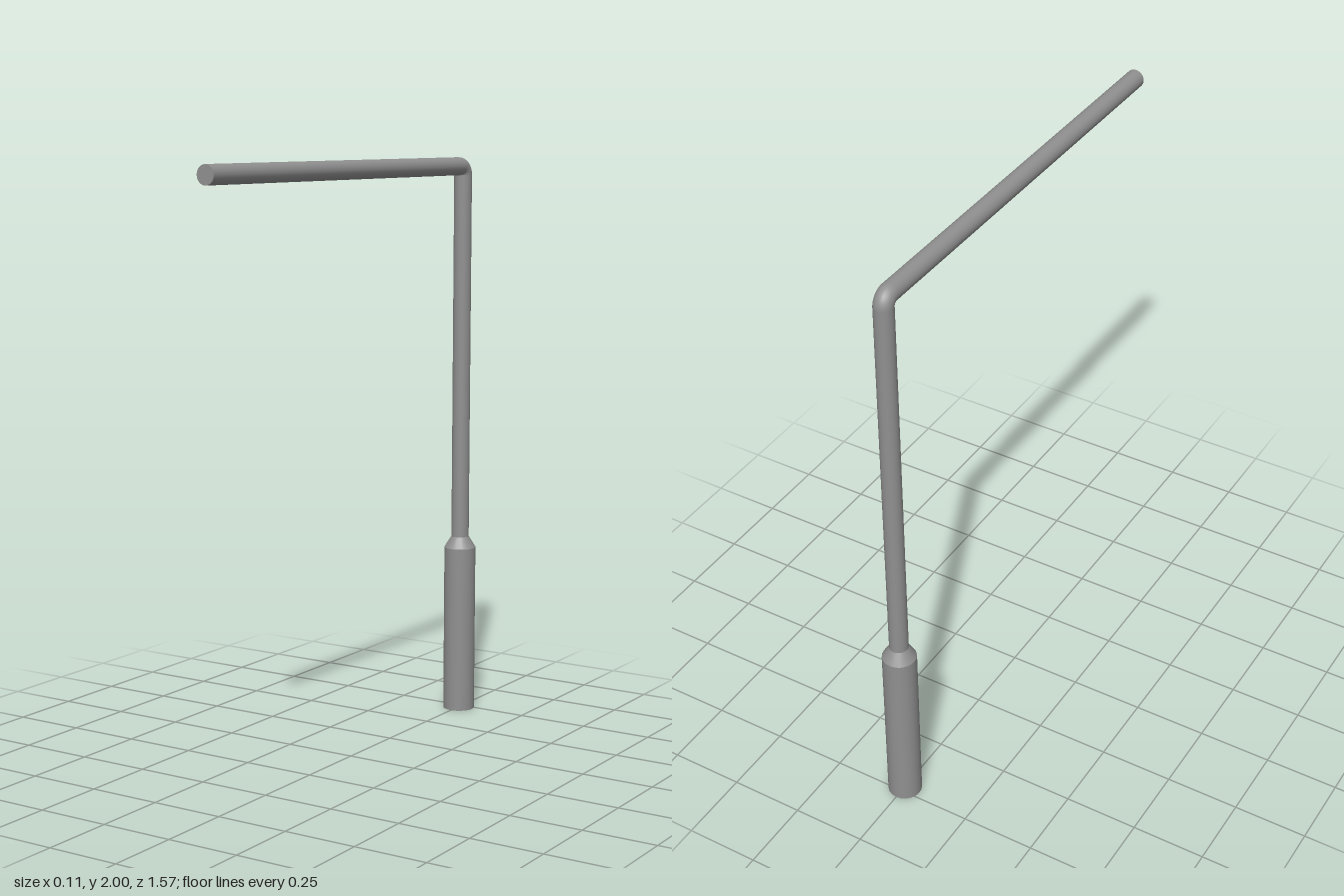
import * as THREE from 'three';

const SIDES = 20;
const POLE_Z = -0.727;
const BASE_R = 0.0565;
const PIPE_R = 0.0315;
const BEND_R = 0.032; // centreline radius, so the inner corner is almost sharp
const BEND_Y = 2 - PIPE_R - BEND_R;
const BEND_Z = POLE_Z + BEND_R;
const ARM_END = 0.783;

export function createModel() {
  const group = new THREE.Group();
  const material = new THREE.MeshStandardMaterial({ color: 0x909090 });

  const add = (name, geometry, x, y, z) => {
    const mesh = new THREE.Mesh(geometry, material);
    mesh.name = name;
    mesh.position.set(x, y, z);
    group.add(mesh);
    return mesh;
  };
  // Upright round section between two heights
  const upright = (name, rTop, rBottom, y0, y1, open) =>
    add(name, new THREE.CylinderGeometry(rTop, rBottom, y1 - y0, SIDES, 1, open), 0, (y0 + y1) / 2, POLE_Z);

  // Wide foot, tapered collar and slim pole
  upright('base', BASE_R, BASE_R, 0, 0.6, false);
  upright('collar', PIPE_R, BASE_R, 0.6, 0.64, true);
  upright('pole', PIPE_R, PIPE_R, 0.64, BEND_Y, true);

  // Quarter-turn elbow from the pole to the arm
  const elbow = new THREE.TorusGeometry(BEND_R, PIPE_R, SIDES, 10, Math.PI / 2);
  add('elbow', elbow, 0, BEND_Y, BEND_Z).rotation.y = Math.PI / 2;

  // Horizontal arm reaching forward
  const arm = new THREE.CylinderGeometry(PIPE_R, PIPE_R, ARM_END - BEND_Z, SIDES);
  arm.rotateX(Math.PI / 2);
  add('arm', arm, 0, 2 - PIPE_R, (ARM_END + BEND_Z) / 2);

  return group;
}
